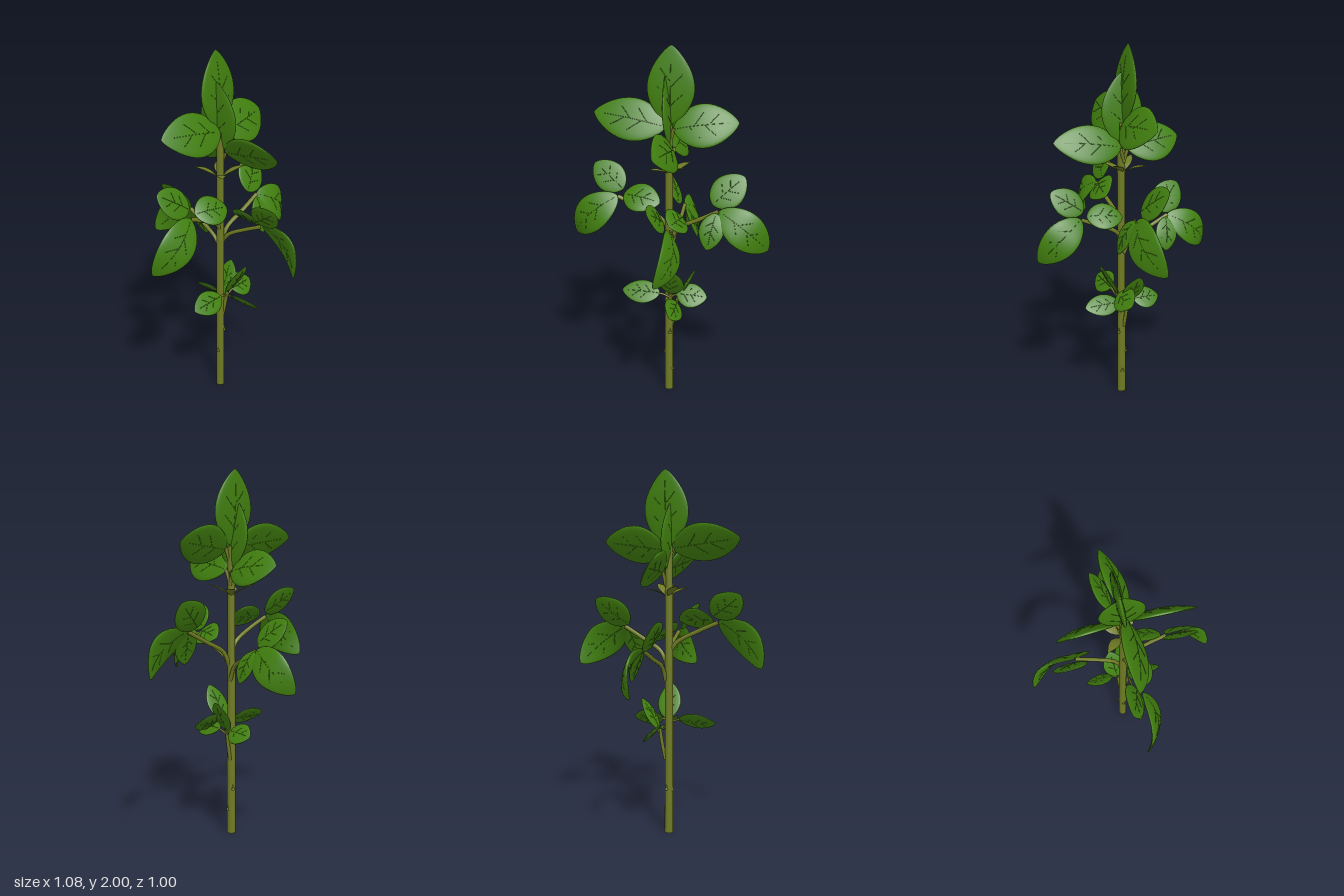
import * as THREE from 'three';
import { mergeGeometries } from 'three/addons/utils/BufferGeometryUtils.js';
import { ParametricGeometry } from 'three/addons/geometries/ParametricGeometry.js';

const V = (x, y, z) => new THREE.Vector3(x, y, z);
const material = (name, color) => {
  const m = new THREE.MeshStandardMaterial({ color });
  m.name = name;
  return m;
};

export function createModel() {
  const leafGreen = material('leaf green', 0x417f0f);
  const stemOlive = material('stem olive', 0x6e7a23);

  const add = (parent, name, geometry, mat) => {
    const mesh = new THREE.Mesh(geometry, mat);
    mesh.name = name;
    parent.add(mesh);
    return mesh;
  };

  // Leaf from base to tip, its upper face turned towards the facing vector.
  // A lower power gives a rounder outline; bend arches the blade outwards.
  function leaf(parent, name, base, tip, half, facing, { bend = 0, power = 0.75, mat = leafGreen, veined = true } = {}) {
    const group = new THREE.Group();
    group.name = name;
    const along = tip.clone().sub(base);
    const length = along.length();
    along.normalize();
    const normal = facing.clone().addScaledVector(along, -facing.dot(along)).normalize();
    const across = along.clone().cross(normal);
    group.quaternion.setFromRotationMatrix(new THREE.Matrix4().makeBasis(across, along, normal));
    group.position.copy(base);
    parent.add(group);

    // Point on the blade: t along it, (c, s) on the unit cross-section
    const bladePoint = (t, c, s, target) => {
      const w = half * Math.max(0.02, Math.pow(Math.max(0, Math.sin(Math.PI * Math.pow(t, 0.9))), power));
      const thick = Math.sign(s) * Math.pow(Math.abs(s), 0.75);
      return target.set(w * c, t * length, w * 0.14 * thick + bend * 4 * t * (1 - t));
    };
    const blade = new ParametricGeometry((u, v, target) => {
      const a = u * Math.PI * 2;
      const t = (1 - Math.cos(v * Math.PI)) / 2; // finer towards both ends
      bladePoint(t, Math.cos(a), -Math.sin(a), target);
    }, 24, 20);
    add(group, 'blade', blade, mat);
    if (!veined) return;

    // Slightly raised midrib and side veins on both faces
    const veins = [];
    for (const face of [1, -1]) {
      const vein = (t0, t1, c1) => {
        const points = [];
        for (let i = 0; i <= 6; i++) {
          const k = i / 6, c = c1 * k;
          points.push(bladePoint(t0 + (t1 - t0) * k, c, face * Math.sqrt(1 - c * c), V()));
        }
        veins.push(new THREE.TubeGeometry(new THREE.CatmullRomCurve3(points), 8, 0.0016, 4));
      };
      vein(0.05, 0.85, 0);
      for (const t of [0.24, 0.48]) {
        vein(t, t + 0.16, 0.55);
        vein(t + 0.08, t + 0.24, -0.55);
      }
    }
    add(group, 'veins', mergeGeometries(veins), mat);
  }

  const stalk = (parent, name, radius, ...points) =>
    add(parent, name, new THREE.TubeGeometry(new THREE.CatmullRomCurve3(points), 16, radius, 8), stemOlive);

  // One set of leaves: top trio, two stalked trios at the middle, low trio
  function foliage(name) {
    const g = new THREE.Group();
    g.name = name;
    const front = V(0, 0, 1), tilted = V(0, 0.5, 0.87), sloped = V(0, 0.7, 0.7);
    const outer = { bend: 0.06, power: 0.62 }, round = { power: 0.58 }, low = { power: 0.65 };

    // Top trio
    leaf(g, 'topLeaf', V(0, 1.6, 0.0), V(0, 2, -0.03), 0.125, front);
    leaf(g, 'topLeftLeaf', V(0.02, 1.58, 0.02), V(0.355, 1.62, -0.02), 0.118, tilted, { bend: 0.015, power: 0.68 });
    leaf(g, 'topRightLeaf', V(-0.02, 1.59, 0.02), V(-0.41, 1.645, -0.02), 0.115, tilted, { bend: 0.015, power: 0.7 });
    for (const x of [-0.025, 0.025])
      stalk(g, 'topStalk', 0.01, V(0, 1.5, 0.01), V(x * 0.5, 1.55, 0.015), V(x, 1.59, 0.02));

    // Right middle trio
    stalk(g, 'rightStalk', 0.012, V(-0.01, 1.03, 0.01), V(-0.05, 1.085, 0.015), V(-0.17, 1.15, 0.03), V(-0.28, 1.2, 0.035));
    leaf(g, 'rightOuterLeaf', V(-0.28, 1.205, 0.04), V(-0.53, 0.97, 0.005), 0.098, tilted, outer);
    leaf(g, 'rightUpperLeaf', V(-0.255, 1.235, 0.01), V(-0.425, 1.355, -0.05), 0.084, tilted, round);
    leaf(g, 'rightInnerLeaf', V(-0.245, 1.215, 0.04), V(-0.04, 1.195, 0.08), 0.085, sloped, { bend: 0.01, power: 0.62 });

    // Left middle trio
    stalk(g, 'leftStalk', 0.012, V(0, 0.94, 0.01), V(0.045, 1.03, 0.015), V(0.15, 1.09, 0.03), V(0.27, 1.155, 0.04));
    leaf(g, 'leftOuterLeaf', V(0.27, 1.155, 0.04), V(0.535, 0.935, 0.005), 0.102, tilted, outer);
    leaf(g, 'leftUpperLeaf', V(0.23, 1.175, 0.005), V(0.39, 1.315, -0.075), 0.092, tilted, round);
    leaf(g, 'leftInnerLeaf', V(0.255, 1.145, 0.05), V(0.22, 0.965, 0.13), 0.068, tilted, { bend: 0.01, power: 0.65 });

    // Low trio
    stalk(g, 'lowStalk', 0.011, V(0, 0.46, 0.012), V(0.005, 0.54, 0.028), V(0.01, 0.65, 0.045));
    for (const x of [-0.06, 0.06])
      stalk(g, 'lowSideStalk', 0.006, V(0.01, 0.62, 0.045), V(x * 0.5, 0.64, 0.05), V(x, 0.645, 0.05));
    leaf(g, 'lowLeaf', V(0.015, 0.645, 0.045), V(0.035, 0.83, 0.15), 0.068, V(0, 0.5, -0.87), low);
    leaf(g, 'lowRightLeaf', V(-0.05, 0.645, 0.05), V(-0.265, 0.645, 0.045), 0.069, sloped, low);
    leaf(g, 'lowLeftLeaf', V(0.045, 0.65, 0.05), V(0.215, 0.64, 0.045), 0.072, sloped, low);
    return g;
  }

  const plant = new THREE.Group();
  plant.name = 'plant';

  // Second set is a quarter turn round and slightly smaller
  plant.add(foliage('upperFoliage'));
  const lower = foliage('lowerFoliage');
  lower.rotation.y = Math.PI / 2;
  lower.scale.setScalar(0.925);
  plant.add(lower);

  // Main stem
  add(plant, 'stem', new THREE.CylinderGeometry(0.02, 0.024, 1.6, 14, 8), stemOlive)
    .position.set(-0.006, 0.8, 0.008);

  // Small pointed bracts spreading diagonally below the top leaves
  for (const sx of [-1, 1]) for (const sz of [-1, 1])
    leaf(plant, 'bract', V(sx * 0.008, 1.335, sz * 0.008), V(sx * 0.095, sx === sz ? 1.395 : 1.375, sz * 0.095),
      0.026, V(0, 1, 0), { bend: 0.012, power: 1, mat: stemOlive, veined: false });

  // Little buds on the bare stem
  for (const [x, y, z] of [[-0.027, 0.26, 0.01], [0.015, 0.15, 0.012], [0.0, 0.27, -0.015], [0.004, 0.4, 0.028]])
    add(plant, 'bud', new THREE.ConeGeometry(0.01, 0.035, 7), stemOlive).position.set(x, y, z);
  return plant;
}
